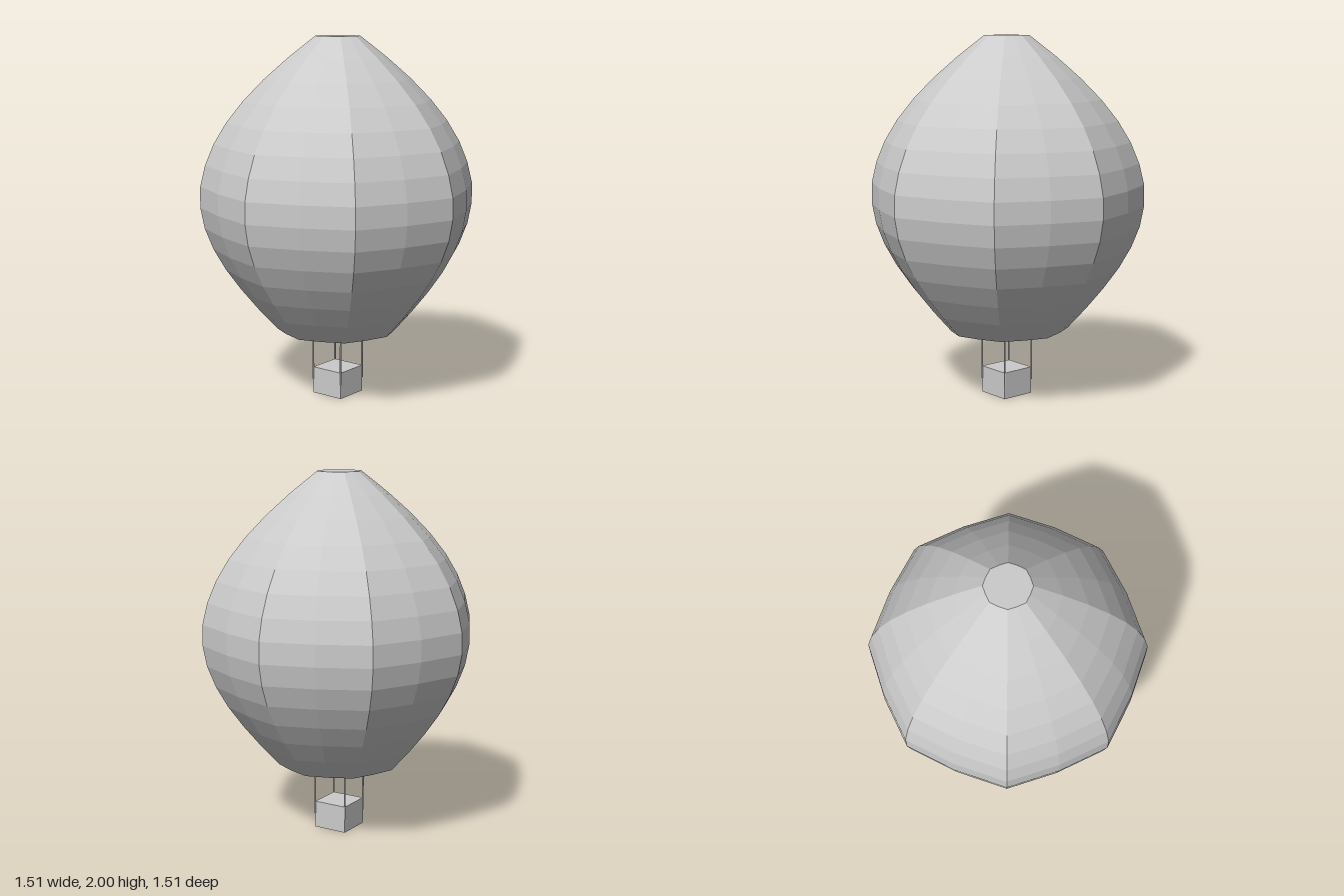
import * as THREE from 'three';

const SIDES = 16;
const BOTTOM = 0.38, TOP = 2;

export function createModel() {
  const balloon = new THREE.Group();
  balloon.name = 'hotAirBalloon';
  const material = new THREE.MeshStandardMaterial({
    color: 0xcccccc, flatShading: true, side: THREE.DoubleSide,
  });

  // Envelope: evenly spaced rings, open at the mouth and closed by a flat crown
  const radii = [0.34, 0.445, 0.54, 0.623, 0.688, 0.733, 0.755, 0.753,
    0.725, 0.677, 0.607, 0.515, 0.402, 0.27, 0.122];
  const profile = radii.map((r, i) =>
    new THREE.Vector2(r, BOTTOM + (TOP - BOTTOM) * i / (radii.length - 1)));
  profile.push(new THREE.Vector2(0, TOP));
  const envelopeGeometry = new THREE.LatheGeometry(profile, SIDES);

  // Pull every other seam inward so the eight gores bulge only slightly
  const pos = envelopeGeometry.attributes.position;
  for (let i = 0; i < pos.count; i++) {
    const seam = Math.floor(i / profile.length);
    const k = seam % 2 ? 0.95 : 1;
    pos.setXYZ(i, pos.getX(i) * k, pos.getY(i), pos.getZ(i) * k);
  }
  envelopeGeometry.computeVertexNormals();
  const envelope = new THREE.Mesh(envelopeGeometry, material);
  envelope.name = 'envelope';
  balloon.add(envelope);

  // Basket
  const basket = new THREE.Mesh(new THREE.BoxGeometry(0.196, 0.15, 0.196), material);
  basket.name = 'basket';
  basket.position.y = 0.075;
  balloon.add(basket);

  // Ropes at the four basket corners, reaching just inside the mouth
  const ropeGeometry = new THREE.CylinderGeometry(0.005, 0.005, 0.34, 8);
  for (const x of [-1, 1]) {
    for (const z of [-1, 1]) {
      const rope = new THREE.Mesh(ropeGeometry, material);
      rope.name = (z > 0 ? 'front' : 'back') + (x > 0 ? 'Left' : 'Right') + 'Rope';
      rope.position.set(x * 0.098, 0.25, z * 0.098);
      balloon.add(rope);
    }
  }

  return balloon;
}
